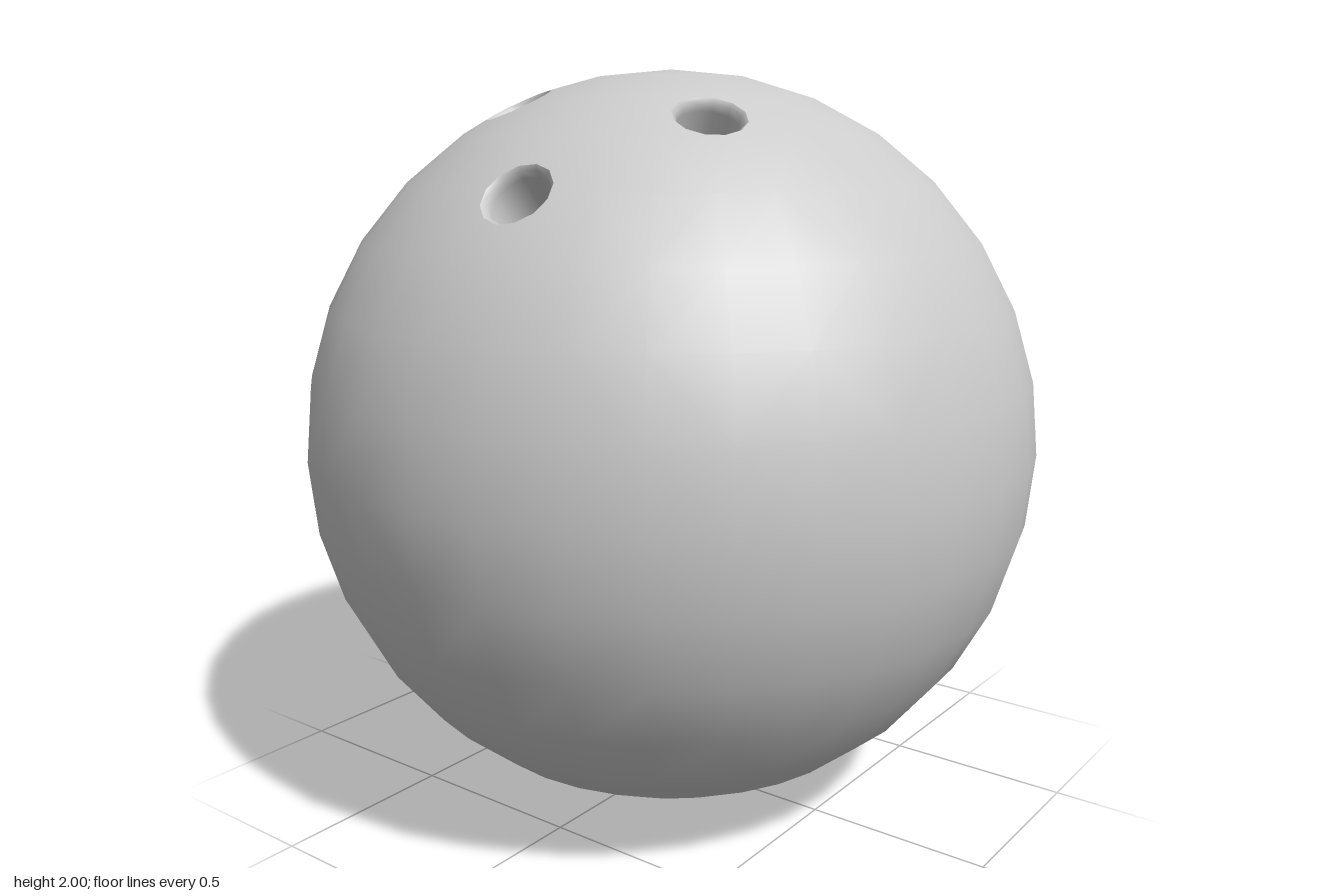
import * as THREE from 'three';
import { ConvexGeometry } from 'three/addons/geometries/ConvexGeometry.js';

const RIM = 0.093;    // outer radius of the softened hole edge
const BORE = 0.08;    // radius of the hole itself
const SIDES = 12;
const UP = new THREE.Vector3(0, 1, 0);

// Hole directions from the ball's centre
const HOLES = {
  leftFingerHole: new THREE.Vector3(0.35, 0.87, 0.315).normalize(),
  rightFingerHole: new THREE.Vector3(-0.24, 0.9, 0.335).normalize(),
  thumbHole: new THREE.Vector3(0.085, 0.69, 0.69).normalize(),
};
const turnTo = (dir) => new THREE.Quaternion().setFromUnitVectors(UP, dir);
const rimHeight = Math.sqrt(1 - RIM * RIM);

// Sphere grid plus rim rings, skinned as a hull, with the discs inside the rims left out
function ballGeometry() {
  const dirs = Object.values(HOLES);
  const points = [];
  for (let i = 0; i <= 16; i++) {
    const around = i % 16 === 0 ? 1 : 32;
    for (let j = 0; j < around; j++) {
      const p = new THREE.Vector3().setFromSphericalCoords(1, (i * Math.PI) / 16, (j * Math.PI) / 16);
      if (dirs.every((d) => d.distanceTo(p) > 0.125)) points.push(p);
    }
  }
  for (const d of dirs) {
    for (let k = 0; k < SIDES; k++) {
      const a = (k / SIDES) * Math.PI * 2;
      points.push(new THREE.Vector3(RIM * Math.sin(a), rimHeight, RIM * Math.cos(a)).applyQuaternion(turnTo(d)));
    }
  }

  const hull = new ConvexGeometry(points).getAttribute('position');
  const kept = [];
  for (let i = 0; i < hull.count; i += 3) {
    const tri = [0, 1, 2].map((k) => new THREE.Vector3().fromBufferAttribute(hull, i + k));
    const insideHole = dirs.some((d) => tri.every((p) => p.distanceTo(d) < RIM + 0.01));
    if (!insideHole) tri.forEach((p) => kept.push(p.x, p.y, p.z));
  }
  const geometry = new THREE.BufferGeometry();
  geometry.setAttribute('position', new THREE.Float32BufferAttribute(kept, 3));
  // On a unit sphere each position is its own smooth normal
  geometry.setAttribute('normal', new THREE.Float32BufferAttribute(kept, 3));
  return geometry;
}

export function createModel() {
  const model = new THREE.Group();
  model.name = 'bowlingBall';
  const material = new THREE.MeshStandardMaterial({ color: 0xcccccc });

  const ball = new THREE.Group();
  ball.name = 'ball';
  ball.position.y = 1;
  model.add(ball);

  const shell = new THREE.Mesh(ballGeometry(), material);
  shell.name = 'shell';
  ball.add(shell);

  // Hole lining, profiled from the rim down so that it faces inward
  const floorHeight = 0.55;
  const profile = [
    [RIM, rimHeight],
    [BORE + 0.003, rimHeight - 0.01],
    [BORE, rimHeight - 0.03],
    [BORE, floorHeight],
  ].map(([r, y]) => new THREE.Vector2(r, y));
  const wallGeometry = new THREE.LatheGeometry(profile, SIDES);
  const floorGeometry = new THREE.CircleGeometry(BORE, SIDES).rotateX(-Math.PI / 2);

  for (const [name, dir] of Object.entries(HOLES)) {
    const hole = new THREE.Group();
    hole.name = name;
    hole.quaternion.copy(turnTo(dir));
    const wall = new THREE.Mesh(wallGeometry, material);
    wall.name = 'holeWall';
    const floor = new THREE.Mesh(floorGeometry, material);
    floor.name = 'holeFloor';
    floor.position.y = floorHeight;
    hole.add(wall, floor);
    ball.add(hole);
  }
  return model;
}
